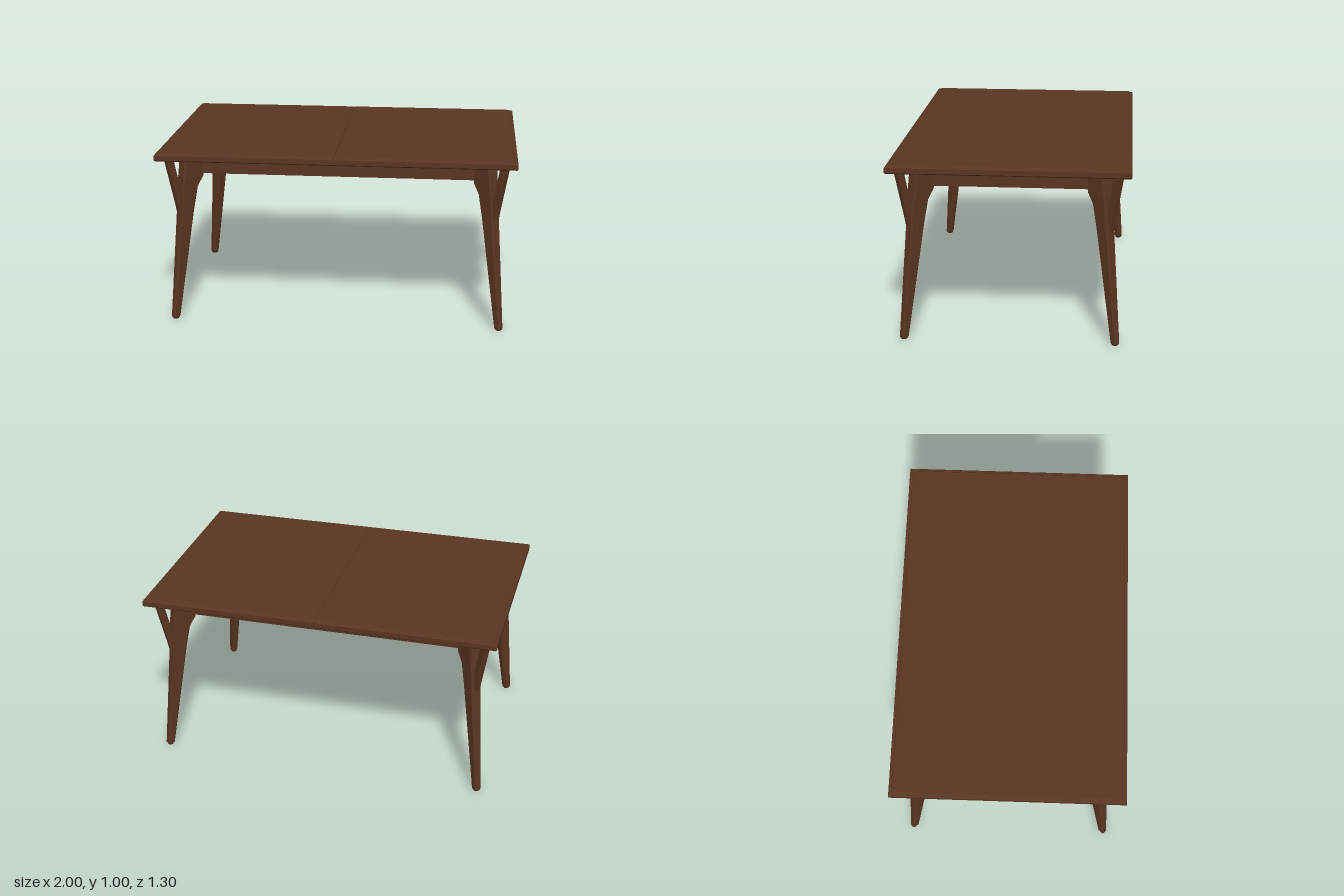
import * as THREE from 'three';

const wood = new THREE.MeshStandardMaterial({ color: 0x5a3522 });
wood.name = 'walnut wood';

// Foot centre of a leg; the legs stand in the diagonal planes of the corners
const FOOT_X = 0.93, FOOT_Z = 0.58;

function box(name, parent, w, h, d, x, y, z) {
  const mesh = new THREE.Mesh(new THREE.BoxGeometry(w, h, d), wood);
  mesh.name = name;
  mesh.position.set(x, y, z);
  parent.add(mesh);
  return mesh;
}

// Skins rows of [y, inner, outer, thickness] with a chamfered rectangular section.
// inner and outer are x positions of a point that travels along the diagonal.
function loft(rows, chamfer) {
  const pos = [], idx = [], n = 8;
  for (const [y, inner, outer, t] of rows) {
    const a0 = (inner - FOOT_X) * Math.SQRT2, a1 = (outer - FOOT_X) * Math.SQRT2;
    const c = Math.min(chamfer, t * 0.3, (a1 - a0) * 0.3), h = t / 2;
    const ring = [
      [a1, -h + c], [a1, h - c], [a1 - c, h], [a0 + c, h],
      [a0, h - c], [a0, -h + c], [a0 + c, -h], [a1 - c, -h],
    ];
    for (const [a, b] of ring) pos.push(a, y, b);
  }
  for (let r = 0; r < rows.length - 1; r++) {
    for (let i = 0; i < n; i++) {
      const a = r * n + i, b = r * n + (i + 1) % n;
      idx.push(a, a + n, b, b, a + n, b + n);
    }
  }
  const top = (rows.length - 1) * n;
  for (let i = 1; i < n - 1; i++) {
    idx.push(0, i, i + 1);
    idx.push(top, top + i + 1, top + i);
  }
  const g = new THREE.BufferGeometry();
  g.setAttribute('position', new THREE.Float32BufferAttribute(pos, 3));
  g.setIndex(idx);
  const flat = g.toNonIndexed();
  flat.computeVertexNormals();
  return flat;
}

// One half of the top: a slab with a bevelled upper rim, split at the centre seam
function topLeaf(side) {
  const s = new THREE.Shape();
  const rim = (y, x, z) => [0.001, x, z, y];
  const rows = [rim(0.955, 0.994, 0.642), rim(0.961, 1, 0.648), rim(0.988, 1, 0.648),
    rim(0.992, 0.996, 0.644), rim(0.994, 0.983, 0.631), rim(1, 0.978, 0.626)];
  const pos = [], idx = [];
  for (const [x0, x1, z, y] of rows) pos.push(x0, y, z, x1, y, z, x1, y, -z, x0, y, -z);
  for (let r = 0; r < rows.length - 1; r++) {
    for (let i = 0; i < 4; i++) {
      const a = r * 4 + i, b = r * 4 + (i + 1) % 4;
      idx.push(a, b, a + 4, b, b + 4, a + 4);
    }
  }
  const t = (rows.length - 1) * 4;
  idx.push(0, 2, 1, 0, 3, 2, t, t + 1, t + 2, t, t + 2, t + 3);
  const g = new THREE.BufferGeometry();
  g.setAttribute('position', new THREE.Float32BufferAttribute(pos, 3));
  g.setIndex(idx);
  const flat = g.toNonIndexed();
  flat.computeVertexNormals();
  const mesh = new THREE.Mesh(flat, wood);
  mesh.name = side > 0 ? 'leftTopLeaf' : 'rightTopLeaf';
  if (side < 0) mesh.rotation.y = Math.PI;
  return mesh;
}

export function createModel() {
  const table = new THREE.Group();
  table.name = 'diningTable';

  table.add(topLeaf(1), topLeaf(-1));

  // Tapered leg that widens into a bracket under the top
  const legGeometry = loft([
    [0, 0.917, 0.938, 0.028],
    [0.012, 0.912, 0.943, 0.038],
    [0.64, 0.832, 0.893, 0.062],
    [0.77, 0.812, 0.885, 0.067],
    [0.8, 0.798, 0.882, 0.068],
    [0.825, 0.785, 0.88, 0.069],
    [0.955, 0.778, 0.868, 0.07],
  ], 0.008);
  // Thin strut that branches outwards from the leg
  const strutGeometry = loft([
    [0.64, 0.87, 0.898, 0.034],
    [0.69, 0.875, 0.905, 0.034],
    [0.957, 0.917, 0.948, 0.036],
  ], 0.003);

  for (const sx of [1, -1]) {
    for (const sz of [1, -1]) {
      const corner = new THREE.Group();
      corner.name = (sz > 0 ? 'front' : 'back') + (sx > 0 ? 'Left' : 'Right') + 'Leg';
      const leg = new THREE.Mesh(legGeometry, wood);
      leg.name = 'legPost';
      const strut = new THREE.Mesh(strutGeometry, wood);
      strut.name = 'legStrut';
      corner.add(leg, strut);
      corner.position.set(sx * FOOT_X, 0, sz * FOOT_Z);
      corner.rotation.y = Math.atan2(-sz, sx);
      table.add(corner);
    }
  }

  // Aprons; the long ones are split at the seam
  const apronY = 0.9, apronH = 0.11;
  for (const s of [1, -1]) {
    for (const half of [1, -1]) {
      box(s > 0 ? 'frontApron' : 'backApron', table, 0.767, apronH, 0.028, half * 0.3845, apronY, s * 0.455);
    }
    box(s > 0 ? 'leftApron' : 'rightApron', table, 0.028, apronH, 0.83, s * 0.805, apronY, 0);
  }

  // Extension slides and cross rails under the top
  for (const s of [1, -1]) {
    box('outerSlide', table, 1.56, 0.028, 0.035, 0, 0.92, s * 0.345);
    box('slideMount', table, 1.3, 0.025, 0.02, 0, 0.944, s * 0.345);
    box('innerSlide', table, 0.72, 0.055, 0.025, 0, 0.928, s * 0.29);
    box('crossRail', table, 0.04, 0.03, 0.88, s * 0.7, 0.941, 0);
  }

  // Small catch at the seam
  for (const s of [1, -1]) box('seamCatch', table, 0.05, 0.012, 0.03, 0.015, 0.95, s * 0.484);

  return table;
}
